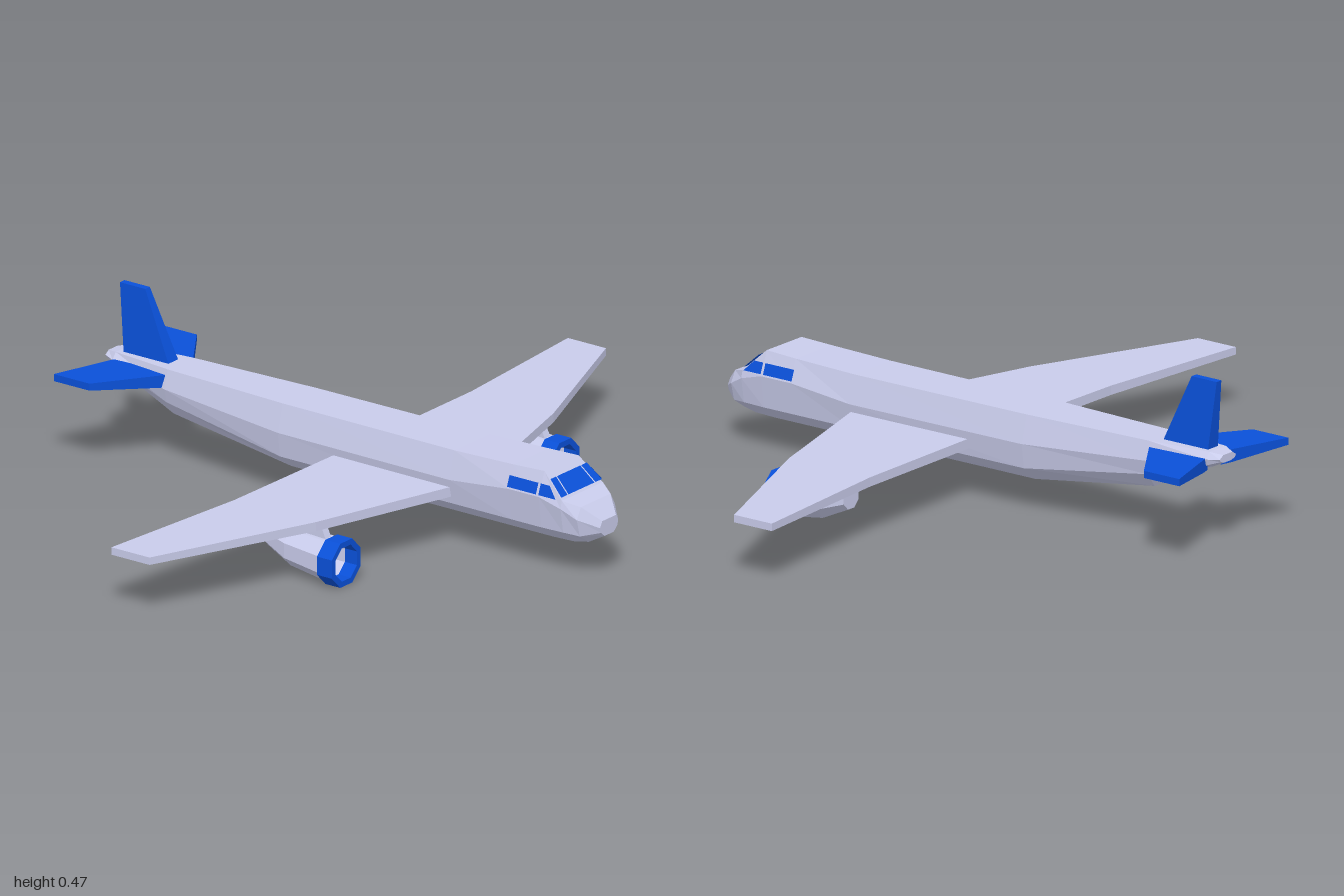
import * as THREE from 'three';

const hull = new THREE.MeshStandardMaterial({ color: 0xc8cbea, flatShading: true });
const blue = new THREE.MeshStandardMaterial({ color: 0x0a50d8, flatShading: true });
const glass = new THREE.MeshStandardMaterial({ color: 0x0a50d8, side: THREE.DoubleSide });
const grey = new THREE.MeshStandardMaterial({ color: 0xcccccc, flatShading: true });

// Skins a series of equal-length point rings and caps both ends, facing outwards.
function loft(rings) {
  const tris = [];
  const n = rings[0].length;
  for (let i = 0; i < rings.length - 1; i++) {
    for (let j = 0; j < n; j++) {
      const k = (j + 1) % n;
      const a = rings[i][j], b = rings[i][k], c = rings[i + 1][k], d = rings[i + 1][j];
      tris.push([a, b, c], [a, c, d]);
    }
  }
  const first = rings[0], last = rings[rings.length - 1];
  for (let j = 1; j < n - 1; j++) {
    tris.push([first[0], first[j + 1], first[j]], [last[0], last[j], last[j + 1]]);
  }
  const cross = new THREE.Vector3();
  let volume = 0;
  for (const [a, b, c] of tris) {
    volume += new THREE.Vector3(...a).dot(cross.crossVectors(new THREE.Vector3(...b), new THREE.Vector3(...c)));
  }
  if (volume < 0) tris.forEach((t) => t.reverse());
  return fromTriangles(tris);
}

function fromTriangles(tris) {
  const g = new THREE.BufferGeometry();
  g.setAttribute('position', new THREE.Float32BufferAttribute(tris.flat(2), 3));
  g.computeVertexNormals();
  return g;
}

function add(parent, name, geometry, material) {
  const mesh = new THREE.Mesh(geometry, material);
  mesh.name = name;
  parent.add(mesh);
  return mesh;
}

// Flat convex pane given by its corners.
function pane(points) {
  const tris = [];
  for (let i = 1; i < points.length - 1; i++) tris.push([points[0], points[i], points[i + 1]]);
  return fromTriangles(tris);
}

// Horizontal aerofoil from stations [z, rear x, front x, bottom y, top y].
const aerofoil = (stations) => loft(stations.map(([z, x0, x1, y0, y1]) =>
  [[x0, y0, z], [x1, y0, z], [x1, y1, z], [x0, y1, z]]));

function fuselage() {
  // x, top y, top half width, shoulder y, half width, chine y, half width, belly y, half width
  const stations = [
    [-0.825, 0.272, 0.02, 0.262, 0.035, 0.255, 0.03, 0.25, 0.015],
    [-0.79, 0.278, 0.035, 0.26, 0.05, 0.243, 0.043, 0.234, 0.02],
    [-0.6, 0.278, 0.056, 0.225, 0.07, 0.185, 0.06, 0.145, 0.03],
    [-0.2, 0.278, 0.074, 0.2, 0.095, 0.13, 0.085, 0.088, 0.035],
    [0.38, 0.278, 0.078, 0.2, 0.1, 0.13, 0.088, 0.088, 0.035],
    [0.58, 0.283, 0.077, 0.22, 0.1, 0.13, 0.088, 0.088, 0.035],
    [0.68, 0.287, 0.075, 0.22, 0.1, 0.13, 0.088, 0.088, 0.035],
    [0.75, 0.222, 0.09, 0.2, 0.096, 0.13, 0.084, 0.09, 0.034],
    [0.795, 0.207, 0.065, 0.175, 0.083, 0.125, 0.07, 0.098, 0.03],
    [0.84, 0.167, 0.03, 0.15, 0.04, 0.135, 0.035, 0.122, 0.02],
  ];
  return loft(stations.map(([x, ...s]) => {
    const half = [];
    for (let i = 0; i < 8; i += 2) half.push([x, s[i], s[i + 1]]);
    return [...half, ...half.map(([a, b, c]) => [a, b, -c]).reverse()];
  }));
}

// Octagon with flats up, facing along x.
function octagon(x, y, r) {
  return Array.from({ length: 8 }, (_, i) => {
    const a = Math.PI / 8 + i * Math.PI / 4;
    return [x, y + r * Math.sin(a), r * Math.cos(a)];
  });
}

function engine() {
  const g = new THREE.Group();
  const cy = 0.064;

  // Nacelle skin folds inwards at the mouth to form the intake duct
  add(g, 'nacelle', loft([
    octagon(0.075, 0.094, 0.035), octagon(0.155, 0.076, 0.055), octagon(0.285, cy, 0.062),
    octagon(0.285, cy, 0.05), octagon(0.215, cy, 0.034),
  ]), hull);

  // Intake ring
  const profile = [[0.05, 0.275], [0.068, 0.275], [0.068, 0.325], [0.051, 0.325], [0.05, 0.275]]
    .map(([r, x]) => new THREE.Vector2(r, x));
  const ring = new THREE.LatheGeometry(profile, 8, Math.PI / 8).rotateZ(-Math.PI / 2);
  add(g, 'intakeRing', ring, blue).position.y = cy;

  // Fan and spinner
  const spinner = new THREE.ConeGeometry(0.014, 0.06, 8).rotateZ(-Math.PI / 2);
  add(g, 'spinner', spinner, grey).position.set(0.25, cy, 0);
  for (let i = 0; i < 8; i++) {
    const blade = new THREE.BoxGeometry(0.012, 0.036, 0.006).translate(0, 0.024, 0);
    const mesh = add(g, 'fanBlade', blade, grey);
    mesh.position.set(0.25, cy, 0);
    mesh.rotation.x = i * Math.PI / 4;
  }

  // Pylon up to the wing
  const pylon = [[0.11, 0.1, 0.27], [0.155, 0.12, 0.25]].map(([y, x0, x1]) =>
    [[x0, y, -0.012], [x1, y, -0.012], [x1, y, 0.012], [x0, y, 0.012]]);
  add(g, 'pylon', loft(pylon), hull);
  return g;
}

export function createModel() {
  const model = new THREE.Group();
  model.name = 'airplane';
  add(model, 'fuselage', fuselage(), hull);

  // Tail fin
  add(model, 'tailFin', loft([[0.265, -0.773, -0.618, 0.022], [0.468, -0.795, -0.71, 0.01]].map(
    ([y, x0, x1, w]) => [[x0, y, -w], [x1, y, -w], [x1, y, w], [x0, y, w]])), blue);

  // Windscreen panes on the sloping cockpit front: centre and two corners
  const slope = (t, s) => [
    0.68 + 0.07 * t + 0.003, 0.287 - 0.065 * t + 0.003, (0.075 + 0.015 * t) * s,
  ];
  for (const [s0, s1] of [[-1, -0.69], [-0.64, 0.64], [0.69, 1]]) {
    add(model, 'windscreen', pane([slope(0.3, s0), slope(0.3, s1), slope(0.92, s1), slope(0.92, s0)]), glass);
  }

  for (const side of [1, -1]) {
    // Wings and tailplanes
    add(model, 'wing', aerofoil([
      [0, -0.015, 0.405, 0.15, 0.178],
      [0.09 * side, -0.015, 0.38, 0.15, 0.178],
      [0.52 * side, -0.02, 0.255, 0.151, 0.177],
      [side, -0.065, 0.063, 0.154, 0.175],
    ]), hull);
    add(model, 'tailplane', aerofoil([
      [0.03 * side, -0.78, -0.58, 0.225, 0.262],
      [0.06 * side, -0.79, -0.605, 0.226, 0.262],
      [0.235 * side, -0.845, -0.725, 0.242, 0.262],
    ]), blue);

    // Cockpit side windows
    const wall = (x, y) => [x, y, side * (0.104 - 0.373 * (y - 0.22))];
    add(model, 'sideWindow', pane([wall(0.575, 0.226), wall(0.672, 0.226), wall(0.672, 0.256), wall(0.575, 0.256)]), glass);
    add(model, 'quarterWindow', pane([wall(0.68, 0.226), wall(0.738, 0.226), wall(0.71, 0.256), wall(0.68, 0.256)]), glass);

    const pod = engine();
    pod.name = 'engine';
    pod.position.z = 0.48 * side;
    model.add(pod);
  }
  return model;
}
